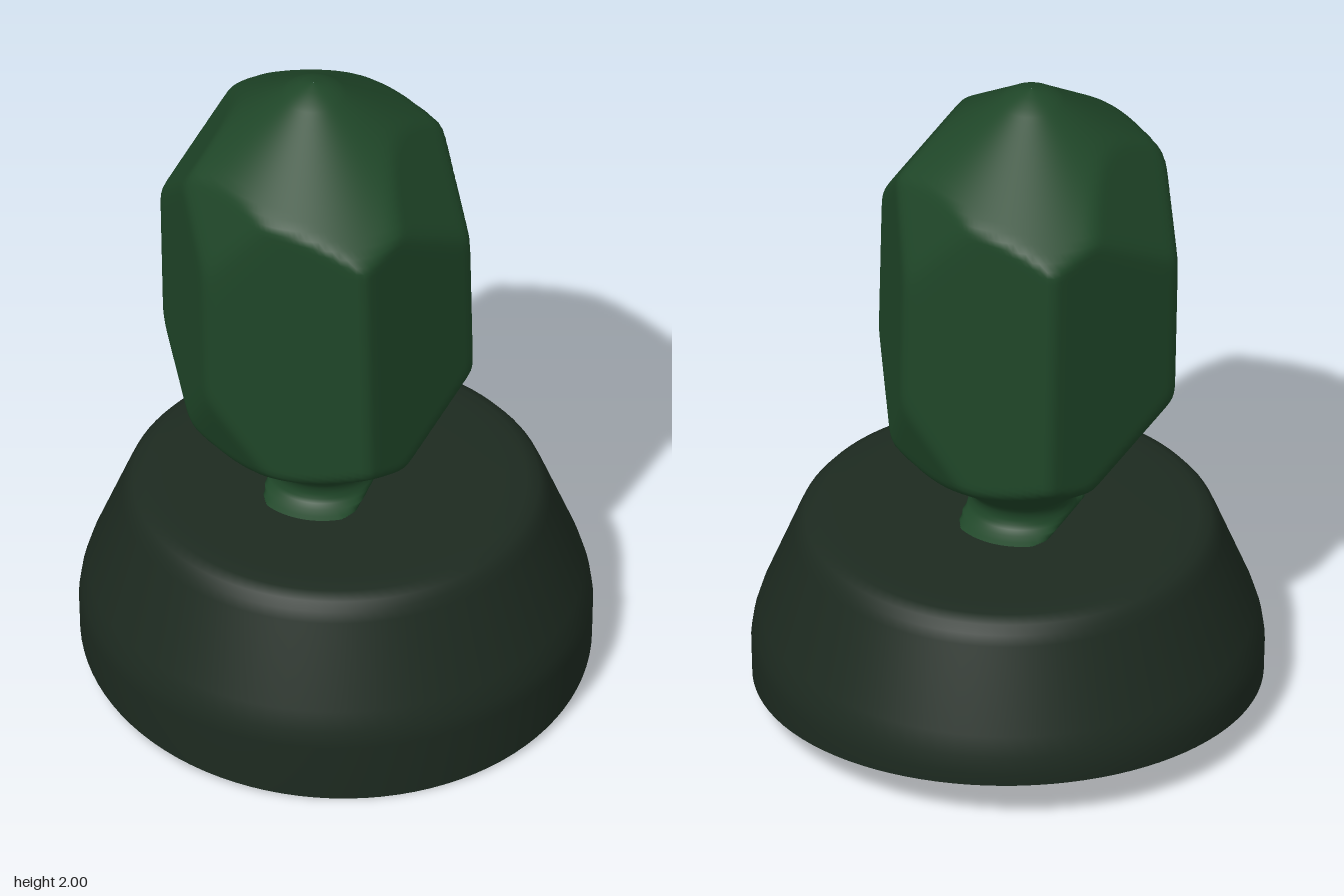
import * as THREE from 'three';
import { mergeVertices } from 'three/addons/utils/BufferGeometryUtils.js';

// Cone-shaped limit of the crystal: [height, radius]
const TAPER = [
  [0.59, 0.23], [0.605, 0.19], [0.625, 0.155], [0.65, 0.145], [0.675, 0.148], [0.7, 0.165],
  [0.76, 0.24], [0.95, 0.5], [1.3, 1], [1.6, 0.61], [1.95, 0.11], [1.975, 0.075], [1.992, 0.04], [2.0, 0.001],
];
// Planes as [direction in degrees from +x toward +z, distance from the axis, inward lean away from mid height]
const MID_HEIGHT = 1.31;
const PLANES = [
  // six upright facets
  [-47, 0.395, 0], [5, 0.386, 0], [62, 0.417, 0], [134, 0.39, 0], [184, 0.392, 0], [242, 0.413, 0],
  // chamfers that cut the four side corners, above and below
  [38, 0.61, 0.67], [218, 0.61, 0.67], [-23, 0.51, 0.36], [160, 0.51, 0.36],
];
const SHARPNESS = 50;

function taperAt(y) {
  let i = 1;
  while (i < TAPER.length - 1 && TAPER[i][0] < y) i++;
  const [y0, r0] = TAPER[i - 1];
  const [y1, r1] = TAPER[i];
  return r0 + ((r1 - r0) * (y - y0)) / (y1 - y0);
}

// Soft minimum of the taper and the planes gives softly worn edges
function crystalRadius(angle, y) {
  const taper = taperAt(y);
  let sum = 1;
  for (const [deg, dist, lean] of PLANES) {
    const c = Math.cos(angle - THREE.MathUtils.degToRad(deg));
    const d = dist - lean * Math.abs(y - MID_HEIGHT);
    if (c > 0) sum += Math.pow((c * taper) / d, SHARPNESS);
  }
  return taper * Math.pow(sum, -1 / SHARPNESS);
}

function smooth(geometry) {
  geometry.deleteAttribute('normal');
  geometry.deleteAttribute('uv');
  const merged = mergeVertices(geometry, 1e-5);
  merged.computeVertexNormals();
  return merged;
}

function crystalGeometry() {
  // Rows follow the taper, each span cut finely enough for the worn edges
  const rows = [];
  for (let i = 0; i < TAPER.length - 1; i++) {
    const [a] = TAPER[i];
    const [b] = TAPER[i + 1];
    const n = Math.max(1, Math.ceil((b - a) / 0.018));
    for (let k = 0; k < n; k++) rows.push(new THREE.Vector2(1, a + ((b - a) * k) / n));
  }
  rows.push(new THREE.Vector2(1, 2));
  const geometry = new THREE.LatheGeometry(rows, 144);
  const p = geometry.attributes.position;
  for (let i = 0; i < p.count; i++) {
    const angle = Math.atan2(p.getZ(i), p.getX(i));
    const y = p.getY(i);
    const r = crystalRadius(angle, y);
    // The axis leans very slightly toward -x at the top
    p.setXYZ(i, Math.cos(angle) * r - 0.02 * (y - MID_HEIGHT), y, Math.sin(angle) * r);
  }
  return smooth(geometry);
}

function baseGeometry() {
  const profile = [
    [0.722, 0], [0.725, 0.18], [0.718, 0.23], [0.7, 0.29], [0.605, 0.53], [0.592, 0.56],
    [0.573, 0.583], [0.54, 0.597], [0.48, 0.6], [0.25, 0.6], [0, 0.6],
  ].map(([r, y]) => new THREE.Vector2(r, y));
  const geometry = new THREE.LatheGeometry(profile, 96);
  const p = geometry.attributes.position;
  // Slanted lower rim, low at the front and high at the back
  for (let i = 0; i < p.count; i++) {
    if (p.getY(i) < 0.01) p.setY(i, 0.071 - 0.096 * p.getZ(i) + 0.015 * p.getX(i));
    p.setZ(i, p.getZ(i) * 1.01);
  }
  return smooth(geometry);
}

export function createModel() {
  const model = new THREE.Group();
  model.name = 'crystalOnBase';

  // Hollow round base, open underneath
  const base = new THREE.Mesh(
    baseGeometry(),
    new THREE.MeshStandardMaterial({ color: 0x1d2a20, side: THREE.DoubleSide }),
  );
  base.name = 'hollowBase';

  // Six-sided crystal with its flared neck
  const crystal = new THREE.Mesh(crystalGeometry(), new THREE.MeshStandardMaterial({ color: 0x1f4628 }));
  crystal.name = 'crystal';
  crystal.position.x = -0.055;

  model.add(base, crystal);
  return model;
}
